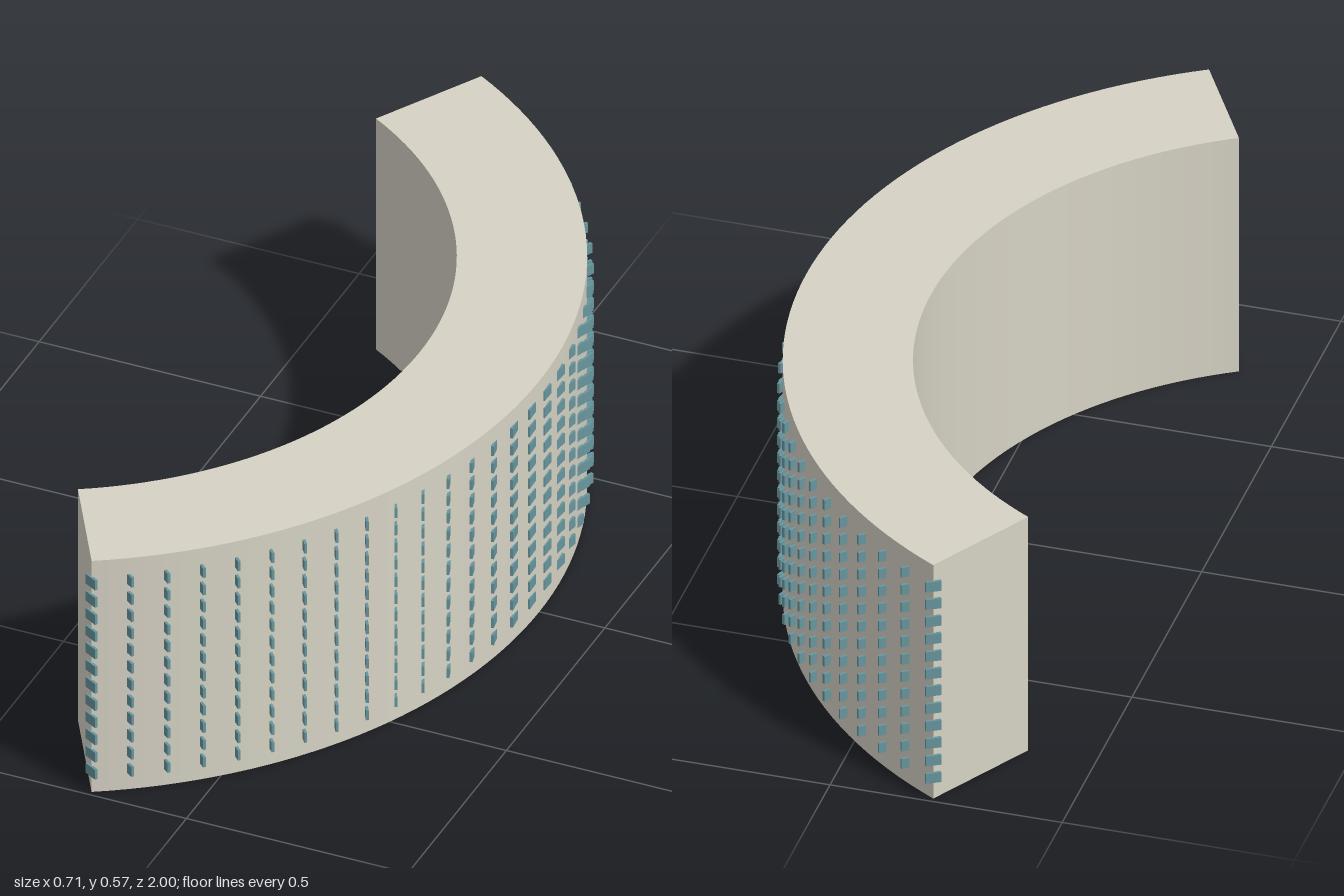
import * as THREE from 'three';
import { mergeGeometries } from 'three/addons/utils/BufferGeometryUtils.js';

const OUTER = 1.142, INNER = 0.873, HEIGHT = 0.572;
const CENTRE_X = -0.79;          // centre of the arc
const HALF_ANGLE = Math.PI / 3;  // the block sweeps 120 degrees
const COLUMNS = 32, ROWS = 12;

export function createModel() {
  const stone = new THREE.MeshStandardMaterial({ color: 0xd6d2c4 });
  stone.name = 'paleStone';
  const glass = new THREE.MeshStandardMaterial({ color: 0x68969e });
  glass.name = 'blueGlass';

  const model = new THREE.Group();
  model.name = 'curvedBuilding';

  // Crescent block: ring sector extruded upwards
  const plan = new THREE.Shape();
  plan.absarc(0, 0, OUTER, -HALF_ANGLE, HALF_ANGLE, false);
  plan.absarc(0, 0, INNER, HALF_ANGLE, -HALF_ANGLE, true);
  plan.closePath();
  const blockGeometry = new THREE.ExtrudeGeometry(plan, {
    depth: HEIGHT, bevelEnabled: false, curveSegments: 32,
  });
  blockGeometry.rotateX(-Math.PI / 2);
  const block = new THREE.Mesh(blockGeometry, stone);
  block.name = 'crescentBlock';
  block.position.x = CENTRE_X;
  model.add(block);

  // Window fins: one column of panes per step along the outer wall,
  // each turned against the curve so that half of it stands proud
  for (let c = 0; c < COLUMNS; c++) {
    const angle = -HALF_ANGLE + (2 * HALF_ANGLE * c) / (COLUMNS - 1);
    const panes = [];
    for (let r = 0; r < ROWS; r++) {
      const pane = new THREE.BoxGeometry(0.006, 0.024, 0.033);
      pane.translate(0, 0.052 + r * 0.0426, 0);
      panes.push(pane);
    }
    const column = new THREE.Mesh(mergeGeometries(panes), glass);
    column.name = `windowColumn${c + 1}`;
    column.position.set(CENTRE_X + OUTER * Math.cos(angle), 0, OUTER * Math.sin(angle));
    column.rotation.y = angle;
    model.add(column);
  }
  return model;
}
